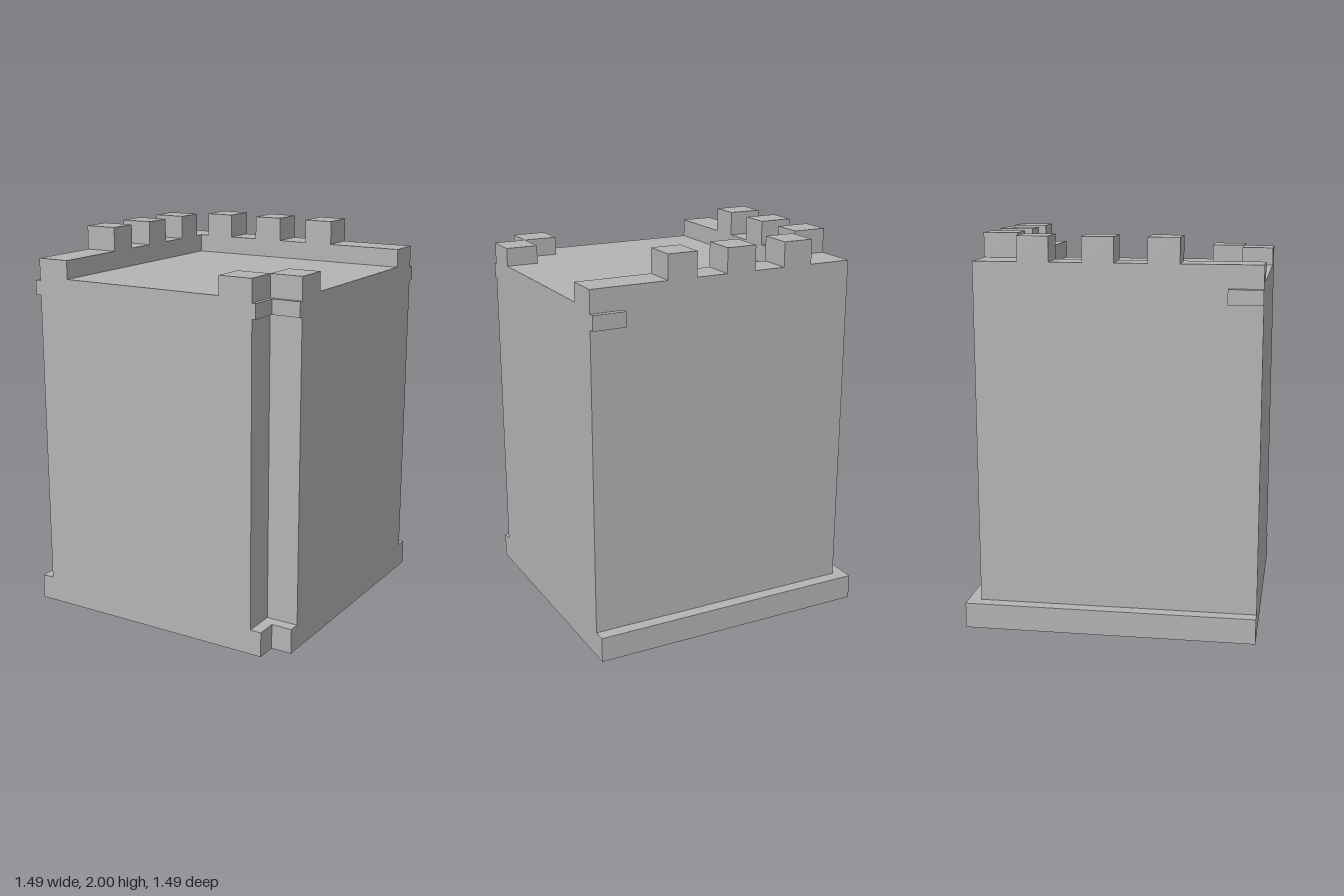
import * as THREE from 'three';

const stone = new THREE.MeshStandardMaterial({ color: 0xb4b4b4 });
stone.name = 'stone grey';

const FAR = 0.74;    // outer limit on +x and +z
const WALL = -0.68;  // wall face on -x and -z
const INNER = -0.505; // inner face of the parapet

// Square plan from lo to FAR with the +x +z corner cut away beyond notch
function plan(lo, notch, inset = 0) {
  const a = lo + inset, b = FAR - inset, n = notch - inset;
  return [[a, a], [a, b], [n, b], [n, n], [b, n], [b, a]]
    .map(([x, z]) => new THREE.Vector2(x, -z));
}

export function createModel() {
  const group = new THREE.Group();

  function add(name, geometry) {
    const mesh = new THREE.Mesh(geometry, stone);
    mesh.name = name;
    group.add(mesh);
  }
  // Box given by its limits on each axis
  function box(name, x0, x1, y0, y1, z0, z1) {
    const g = new THREE.BoxGeometry(x1 - x0, y1 - y0, z1 - z0);
    g.translate((x0 + x1) / 2, (y0 + y1) / 2, (z0 + z1) / 2);
    add(name, g);
  }
  // The same box on both sides of the diagonal (x and z swapped)
  function pair(name, x0, x1, y0, y1, z0, z1) {
    box(name, x0, x1, y0, y1, z0, z1);
    box(name, z0, z1, y0, y1, x0, x1);
  }
  function slab(name, points, y0, y1, hole) {
    const shape = new THREE.Shape(points);
    if (hole) shape.holes.push(new THREE.Path(hole));
    const g = new THREE.ExtrudeGeometry(shape, { depth: y1 - y0, bevelEnabled: false });
    g.rotateX(-Math.PI / 2);
    g.translate(0, y0, 0);
    add(name, g);
  }

  // Plinth: hollow below, with a lattice of thin ribs
  slab('plinthSkirt', plan(-0.745, 0.63), 0, 0.12, plan(-0.745, 0.63, 0.02));
  slab('plinthTop', plan(-0.745, 0.63), 0.12, 0.13);
  for (const p of [-0.65, 0, 0.58]) {
    pair('plinthRib', -0.73, 0.73, 0.002, 0.12, p - 0.012, p + 0.012);
  }

  // Tower body with its notched corner and a narrow band in the notch
  slab('towerBody', plan(WALL, 0.57), 0.13, 1.78);
  slab('cornerBand', plan(WALL, 0.59), 1.685, 1.76);

  // Short ledges at the outer ends of the two walls
  pair('ledge', 0.57, FAR, 1.685, 1.76, -0.71, WALL);

  // L-shaped parapet along the back and the right
  const e = [[WALL, WALL], [WALL, FAR], [INNER, FAR], [INNER, INNER], [FAR, INNER], [FAR, WALL]];
  slab('parapet', e.map(([x, z]) => new THREE.Vector2(x, -z)), 1.78, 1.875);

  // Battlements
  for (const s of [-0.457, -0.137, 0.183]) {
    pair('merlon', s, s + 0.157, 1.875, 2, WALL, INNER);
  }

  // Two low blocks flanking the notch
  pair('cornerBlock', 0.39, 0.57, 1.78, 1.875, 0.57, FAR);

  return group;
}
